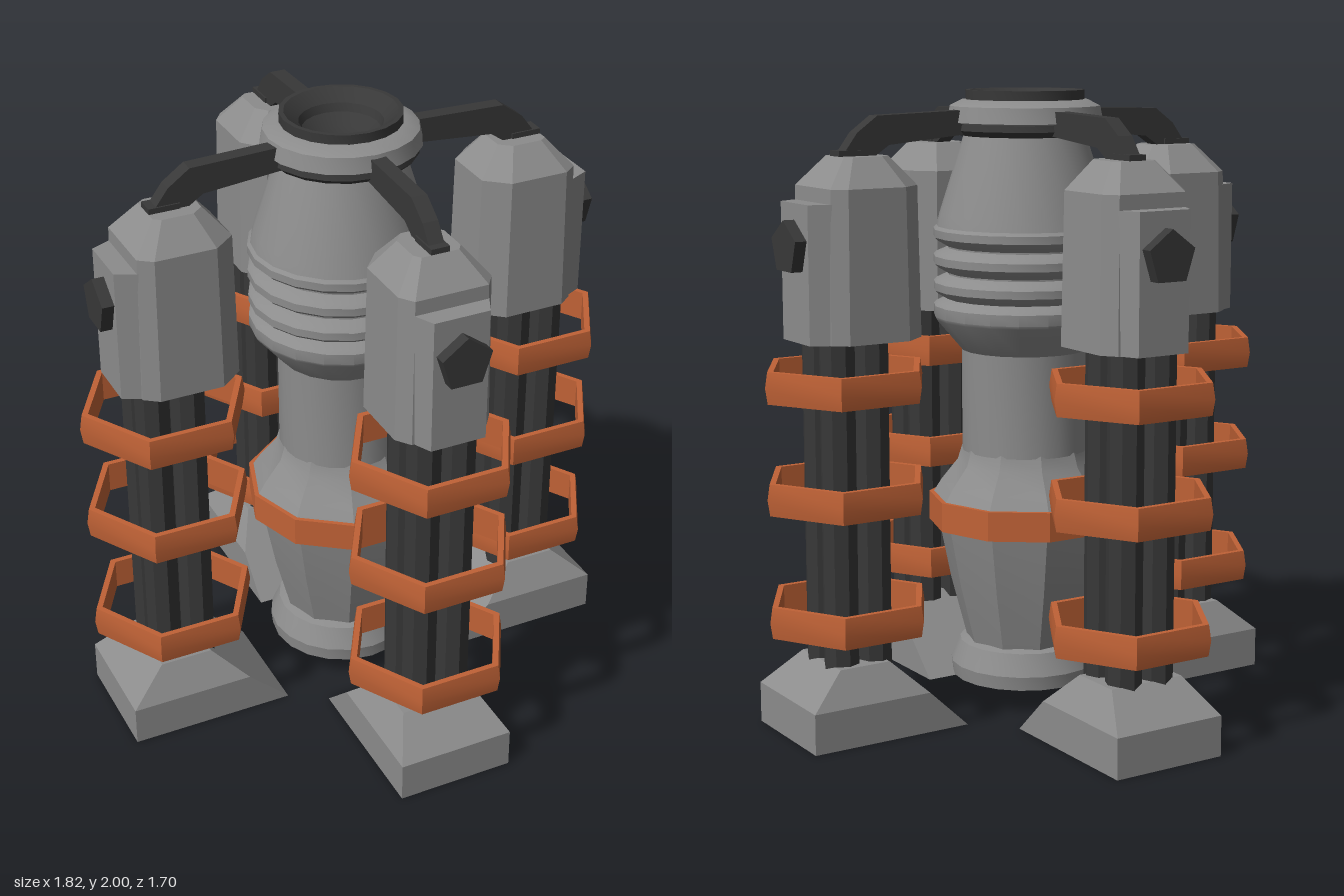
import * as THREE from 'three';
import { toCreasedNormals } from 'three/addons/utils/BufferGeometryUtils.js';

const grey = new THREE.MeshStandardMaterial({ color: 0x8c8c8c });
grey.name = 'grey metal';
const dark = new THREE.MeshStandardMaterial({ color: 0x383838 });
dark.name = 'dark metal';
const orange = new THREE.MeshStandardMaterial({ color: 0xc06236 });
orange.name = 'orange band';

function add(parent, name, geometry, material) {
  const mesh = new THREE.Mesh(geometry, material);
  mesh.name = name;
  parent.add(mesh);
  return mesh;
}

// Turned part: [radius, y] points, bottom to top on the outside
function turned(points, sides) {
  const profile = points.map(([r, y]) => new THREE.Vector2(r, y));
  return toCreasedNormals(new THREE.LatheGeometry(profile, sides, Math.PI / 2), 0.5);
}

// Flat-faced solid through stacked loops; each section is { y, loop: [[x, z], ...] }
function loft(sections) {
  const out = [];
  const n = sections[0].loop.length;
  const put = (s, i) => out.push(s.loop[i % n][0], s.y, s.loop[i % n][1]);
  for (let k = 0; k < sections.length - 1; k++) {
    const a = sections[k], b = sections[k + 1];
    for (let i = 0; i < n; i++) {
      put(a, i); put(a, i + 1); put(b, i + 1);
      put(a, i); put(b, i + 1); put(b, i);
    }
  }
  const low = sections[0], high = sections[sections.length - 1];
  for (let i = 1; i < n - 1; i++) {
    put(high, 0); put(high, i); put(high, i + 1);
    put(low, 0); put(low, i + 1); put(low, i);
  }
  const g = new THREE.BufferGeometry();
  g.setAttribute('position', new THREE.Float32BufferAttribute(out, 3));
  g.computeVertexNormals();
  return g;
}

const rect = (w, back, front) => [[-w, front], [w, front], [w, back], [-w, back]];

function createBody() {
  const body = new THREE.Group();
  body.name = 'centralBody';
  body.position.x = -0.015;

  // Upper shell with four ribs
  const upper = [[0.205, 0.84], [0.205, 1.17], [0.29, 1.27]];
  for (const [low, high] of [[1.27, 1.325], [1.355, 1.4], [1.44, 1.485], [1.525, 1.57]]) {
    if (low > 1.3) upper.push([0.25, low - 0.02], [0.285, low]);
    upper.push([0.295, low + 0.01], [0.295, high - 0.01], [0.285, high]);
    if (high < 1.55) upper.push([0.25, high + 0.015]);
  }
  upper.push([0.275, 1.61], [0.195, 1.86]);
  add(body, 'upperShell', turned(upper, 20), grey);

  // Collar and open top
  add(body, 'collarRing', turned([[0.19, 1.855], [0.225, 1.86], [0.24, 1.875], [0.235, 1.895], [0.19, 1.9]], 20), dark);
  add(body, 'collar', turned([[0.2, 1.89], [0.25, 1.9], [0.24, 1.95], [0.2, 1.97], [0.17, 1.97]], 20), grey);
  add(body, 'topRim', turned([[0.19, 1.96], [0.19, 2], [0.175, 2], [0.13, 1.965], [0.12, 1.94], [0.08, 1.91], [0, 1.895]], 20), dark);

  // Lower shell, waist band and nozzle
  add(body, 'lowerShell', turned([[0.19, 0.19], [0.245, 0.4], [0.285, 0.6], [0.3, 0.69], [0.275, 0.73], [0.22, 0.8], [0.205, 0.85]], 10), grey);
  add(body, 'waistBand', turned([[0.28, 0.595], [0.315, 0.595], [0.315, 0.69], [0.28, 0.69]], 10), orange);
  add(body, 'nozzle', turned([[0.18, 0.085], [0.24, 0.085], [0.245, 0.13], [0.215, 0.2], [0.18, 0.21]], 20), grey);
  add(body, 'nozzleBowl', turned([[0, 0.18], [0.08, 0.165], [0.13, 0.13], [0.14, 0.1], [0.185, 0.084]], 20), dark);
  return body;
}

// One leg, with its outer side facing +z
function createLeg(angle) {
  const leg = new THREE.Group();
  leg.rotation.y = angle;

  // Wedge foot
  add(leg, 'foot', loft([
    { y: 0, loop: rect(0.193, -0.32, 0.222) },
    { y: 0.13, loop: rect(0.193, -0.183, 0.222) },
    { y: 0.235, loop: rect(0.13, -0.073, 0.1) },
  ]), grey);

  // Four columns
  for (const x of [-1, 1]) {
    for (const z of [-1, 1]) {
      const geometry = new THREE.CylinderGeometry(0.057, 0.057, 1.06, 8).toNonIndexed();
      geometry.computeVertexNormals();
      add(leg, 'column', geometry, dark).position.set(x * 0.058, 0.74, z * 0.058);
    }
  }

  // Six-sided hoops, all turned the same way in the model
  for (const y of [0.38, 0.77, 1.118]) {
    const hoop = turned([[0.245, -0.05], [0.266, -0.05], [0.274, 0], [0.266, 0.05], [0.245, 0.05], [0.245, -0.05]], 6);
    const mesh = add(leg, 'hoop', hoop, orange);
    mesh.position.y = y;
    mesh.rotation.y = -angle;
  }

  // Housing with a bevelled top
  const plan = [[-0.12, 0.105], [0.12, 0.105], [0.153, 0.06], [0.153, -0.14],
    [0.09, -0.215], [-0.09, -0.215], [-0.153, -0.14], [-0.153, 0.06]];
  const scaled = (s) => plan.map(([x, z]) => [x * s, -0.055 + (z + 0.055) * s]);
  add(leg, 'housing', loft([
    { y: 1.25, loop: scaled(1.03) },
    { y: 1.72, loop: scaled(0.98) },
    { y: 1.81, loop: scaled(0.5) },
  ]), grey);
  const panel = [[-0.09, 0.165], [0.09, 0.165], [0.13, 0.08], [-0.13, 0.08]];
  add(leg, 'outerPanel', loft([{ y: 1.25, loop: panel }, { y: 1.675, loop: panel }]), grey);

  // Five-sided boss
  const boss = new THREE.CylinderGeometry(0.085, 0.085, 0.06, 5).toNonIndexed();
  boss.computeVertexNormals();
  boss.rotateX(-Math.PI / 2);
  add(leg, 'boss', boss, dark).position.set(0, 1.54, 0.173);

  // Bent arm to the collar
  const side = new THREE.Shape([[-0.43, 1.865], [-0.15, 1.84], [-0.09, 1.8], [0.02, 1.8],
    [-0.04, 1.88], [-0.11, 1.93], [-0.43, 1.94]].map(([u, y]) => new THREE.Vector2(u, y)));
  const arm = new THREE.ExtrudeGeometry(side, { depth: 0.05, bevelEnabled: false });
  arm.translate(0, 0, -0.025);
  arm.rotateY(-Math.PI / 2);
  add(leg, 'arm', arm, dark);
  add(leg, 'armPad', new THREE.BoxGeometry(0.06, 0.025, 0.1), dark).position.set(0, 1.815, -0.025);
  return leg;
}

export function createModel() {
  const model = new THREE.Group();
  model.name = 'fourLeggedRig';
  model.add(createBody());
  const places = [
    ['frontLeg', 0, -0.008, 0.608],
    ['leftLeg', Math.PI / 2, 0.63, 0.022],
    ['backLeg', Math.PI, 0, -0.615],
    ['rightLeg', -Math.PI / 2, -0.638, 0.022],
  ];
  for (const [name, angle, x, z] of places) {
    const leg = createLeg(angle);
    leg.name = name;
    leg.position.set(x, 0, z);
    model.add(leg);
  }
  return model;
}
